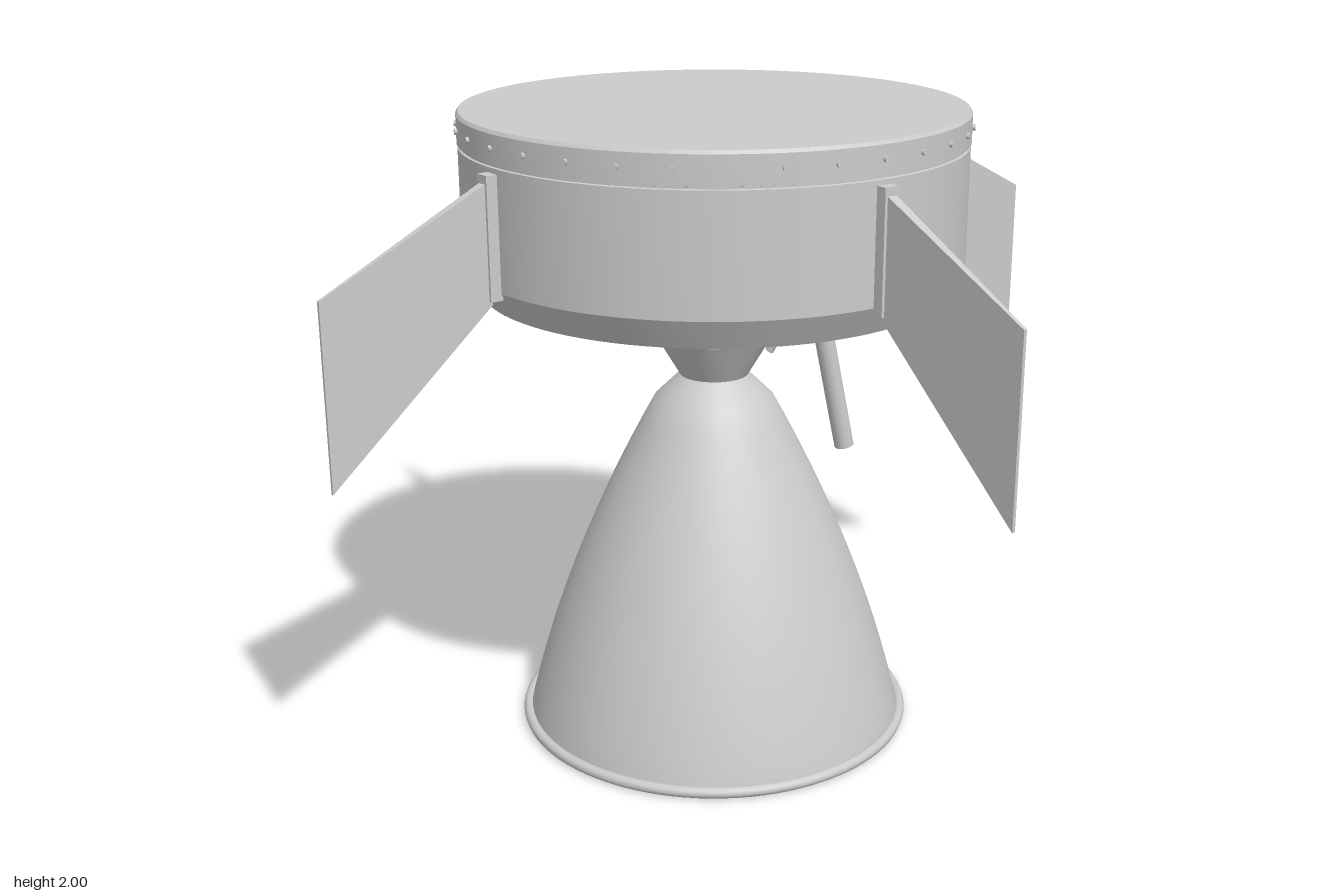
import * as THREE from 'three';
import { toCreasedNormals } from 'three/addons/utils/BufferGeometryUtils.js';

const material = new THREE.MeshStandardMaterial({ color: 0xcccccc });
const V = (x, y, z) => new THREE.Vector3(x, y, z);

function part(name, geometry, parent) {
  const mesh = new THREE.Mesh(geometry, material);
  mesh.name = name;
  parent.add(mesh);
  return mesh;
}

// Revolved profile; points run up the outer side and down the inner side
function lathe(name, points, parent, segments = 64) {
  const profile = points.map(([r, y]) => new THREE.Vector2(r, y));
  return part(name, toCreasedNormals(new THREE.LatheGeometry(profile, segments), 0.35), parent);
}

// Round bar between two points
function rod(name, a, b, radius, parent) {
  const mesh = part(name, new THREE.CylinderGeometry(radius, radius, a.distanceTo(b), 16), parent);
  mesh.position.copy(a).add(b).multiplyScalar(0.5);
  mesh.quaternion.setFromUnitVectors(V(0, 1, 0), b.clone().sub(a).normalize());
  return mesh;
}

// Fin blade: thick at the root, thin at the tip; local x is radial
function finGeometry() {
  const shape = new THREE.Shape([[0.79, 1.51], [1.308, 1.05], [1.308, 1.6], [0.79, 1.86]]
    .map(([x, y]) => new THREE.Vector2(x, y)));
  const geometry = new THREE.ExtrudeGeometry(shape, { depth: 1, bevelEnabled: false });
  const p = geometry.attributes.position;
  for (let i = 0; i < p.count; i++) {
    const t = (p.getX(i) - 0.79) / 0.518;
    p.setZ(i, (p.getZ(i) - 0.5) * THREE.MathUtils.lerp(0.032, 0.01, t));
  }
  geometry.computeVertexNormals();
  return geometry;
}

export function createModel() {
  const model = new THREE.Group();
  model.name = 'rocketStage';

  // Body shell with tapered skirt, open below
  lathe('bodyShell', [
    [0.74, 1.88], [0.74, 1.55], [0.695, 1.45], [0.715, 1.45], [0.767, 1.54],
    [0.767, 1.895], [0.76, 1.897], [0.76, 1.903], [0.769, 1.905], [0.769, 1.99],
    [0.762, 2], [0, 2],
  ], model, 96);

  // Thrust cone and mounting plate inside the skirt
  lathe('thrustCone', [[0, 1.55], [0.37, 1.55], [0.74, 1.87]], model);

  // Rivets around the top band
  const rivets = new THREE.Group();
  rivets.name = 'rivets';
  model.add(rivets);
  const rivetGeometry = new THREE.CylinderGeometry(0.009, 0.009, 0.016, 8).rotateZ(-Math.PI / 2);
  for (let i = 0; i < 32; i++) {
    const a = i * Math.PI / 16;
    const rivet = part('rivet', rivetGeometry, rivets);
    rivet.position.set(0.77 * Math.cos(a), 1.95, -0.77 * Math.sin(a));
    rivet.rotation.y = a;
  }

  // Four diagonal fins on brackets
  const blade = finGeometry();
  for (let i = 0; i < 4; i++) {
    const fin = new THREE.Group();
    fin.name = 'fin';
    fin.rotation.y = Math.PI / 4 + i * Math.PI / 2;
    part('finBlade', blade, fin);
    part('finBracket', new THREE.BoxGeometry(0.04, 0.36, 0.05), fin).position.set(0.78, 1.7, 0);
    model.add(fin);
  }

  // Combustion chamber with collar rings
  lathe('chamber', [
    [0.108, 1.16], [0.185, 1.29], [0.185, 1.4], [0.193, 1.405], [0.193, 1.418],
    [0.185, 1.423], [0.185, 1.45], [0.193, 1.455], [0.193, 1.468], [0.185, 1.473], [0.185, 1.55],
  ], model);

  // Bell nozzle, a thin flared shell
  const bell = [];
  for (let i = 0; i <= 16; i++) {
    const t = 1.045 * i / 16;
    bell.push([0.19 + 0.55 * t - 0.146 * t * t, 1.08 - t]);
  }
  bell.push([0.61, 0.01]);
  const inner = bell.map(([r, y]) => [r - 0.015, y]);
  lathe('nozzleBell', [
    [0, 1.14], [0.095, 1.14], ...inner, ...bell.slice().reverse(), [0.145, 1.125], [0.108, 1.16],
  ], model);

  // Rolled rim at the nozzle exit
  const rim = part('nozzleRim', new THREE.TorusGeometry(0.616, 0.018, 10, 96), model);
  rim.rotation.x = Math.PI / 2;
  rim.position.y = 0.018;

  // Turbopump with flange, exhaust pipe and feed duct
  const pump = new THREE.Group();
  pump.name = 'turbopump';
  model.add(pump);
  const pumpBody = lathe('pumpBody', [
    [0, 1.34], [0.077, 1.34], [0.077, 1.385], [0.062, 1.385], [0.062, 1.53], [0.045, 1.56], [0, 1.56],
  ], pump, 32);
  pumpBody.position.set(0.265, 0, -0.185);
  rod('exhaustPipe', V(0.305, 1.36, -0.19), V(0.398, 0.85, -0.244), 0.032, pump);
  rod('feedDuct', V(0.11, 1.235, -0.08), V(0.25, 1.36, -0.185), 0.022, pump);

  // Struts from the plate to the chamber
  rod('strut', V(0.185, 1.265, 0.09), V(0.335, 1.555, 0.12), 0.013, model);
  rod('strut', V(-0.09, 1.265, -0.185), V(-0.12, 1.555, -0.335), 0.013, model);

  return model;
}
